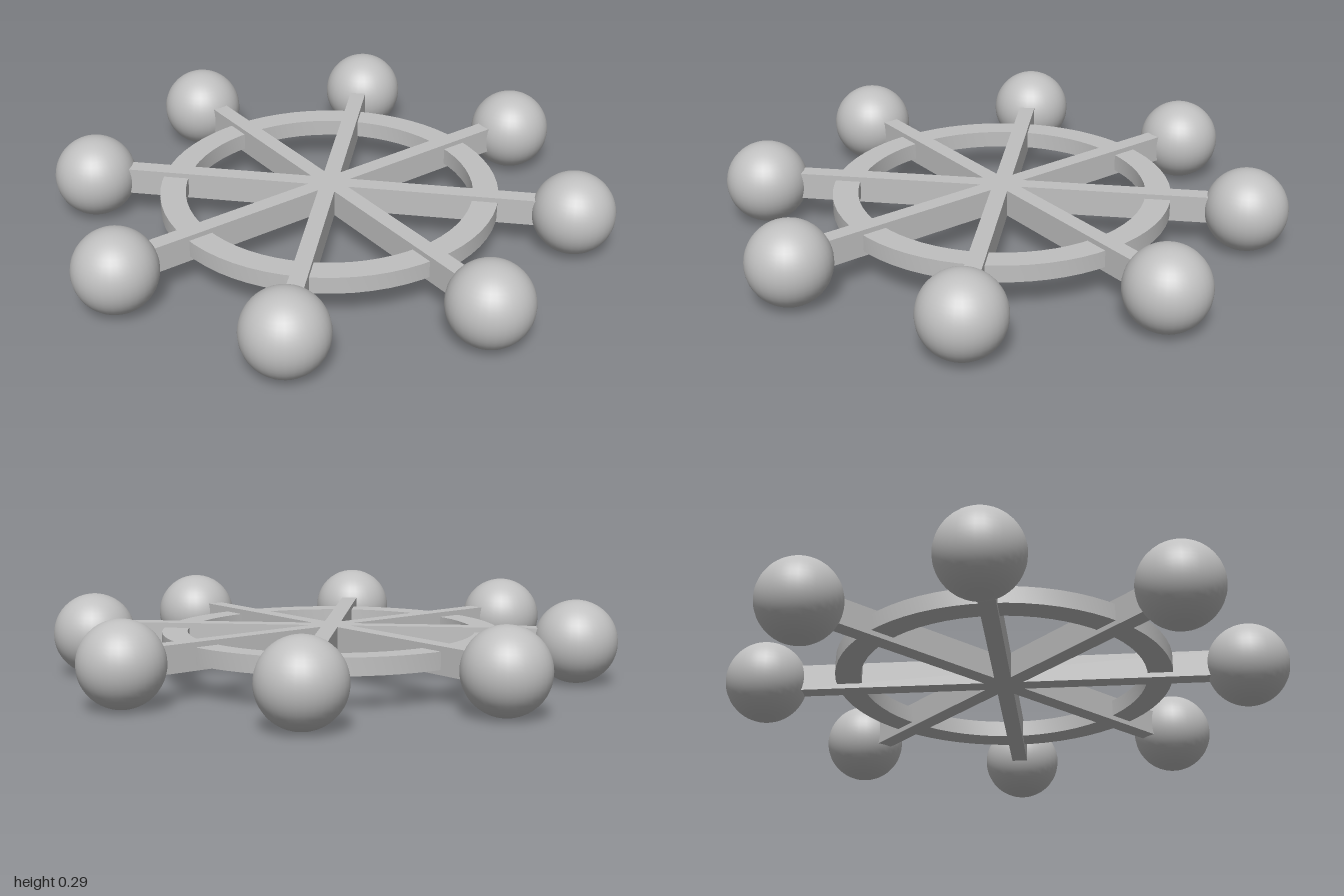
import * as THREE from 'three';
import { toCreasedNormals } from 'three/addons/utils/BufferGeometryUtils.js';

const CENTER_Y = 0.145;
const BALL_RADIUS = 0.145;
const BALL_DISTANCE = 0.855;

// Flat ring with a rectangular section, lying in the horizontal plane
function ringGeometry(outer, inner, height) {
  const shape = new THREE.Shape().absarc(0, 0, outer, 0, Math.PI * 2, false);
  shape.holes.push(new THREE.Path().absarc(0, 0, inner, 0, Math.PI * 2, true));
  const geometry = new THREE.ExtrudeGeometry(shape, {
    depth: height, bevelEnabled: false, curveSegments: 32,
  });
  geometry.translate(0, 0, -height / 2).rotateX(-Math.PI / 2);
  return toCreasedNormals(geometry, Math.PI / 6);
}

export function createModel() {
  const model = new THREE.Group();
  model.name = 'spokedWheel';

  const grey = new THREE.MeshStandardMaterial({ color: 0xc0c0c0 });
  grey.name = 'grey';

  const add = (name, geometry) => {
    const mesh = new THREE.Mesh(geometry, grey);
    mesh.name = name;
    mesh.position.y = CENTER_Y;
    model.add(mesh);
    return mesh;
  };

  add('ring', ringGeometry(0.594, 0.505, 0.06));

  // Four bars crossing at the hub, their ends buried in the balls
  const barGeometry = new THREE.BoxGeometry(1.6, 0.095, 0.058);
  for (let i = 0; i < 4; i++) {
    add('spoke' + (i + 1), barGeometry).rotation.y = (i * Math.PI) / 4;
  }

  // One ball at each bar end
  const ballGeometry = new THREE.SphereGeometry(BALL_RADIUS, 32, 24);
  for (let i = 0; i < 8; i++) {
    const angle = (i * Math.PI) / 4;
    const ball = add('ball' + (i + 1), ballGeometry);
    ball.position.x = Math.cos(angle) * BALL_DISTANCE;
    ball.position.z = Math.sin(angle) * BALL_DISTANCE;
  }

  return model;
}
